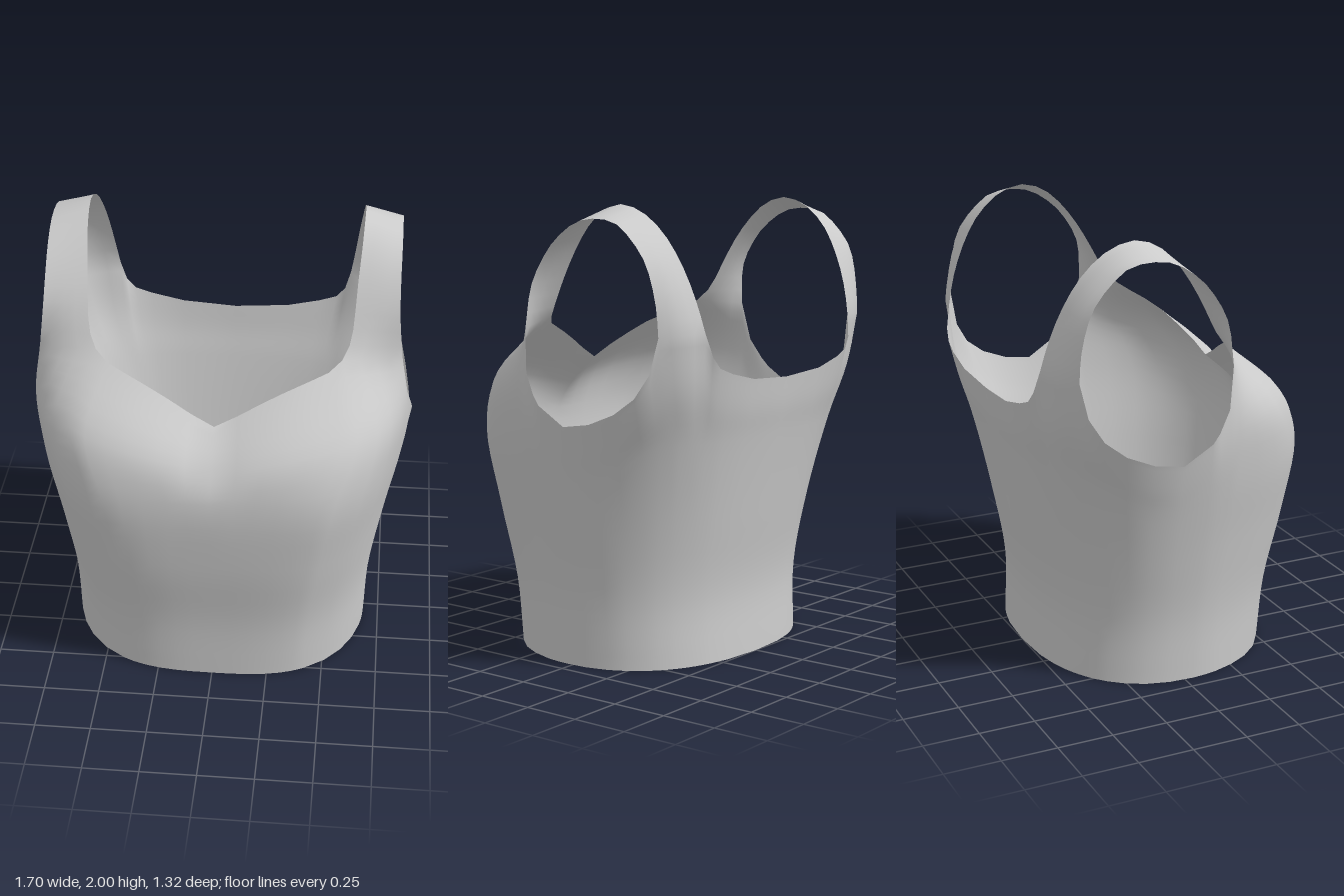
import * as THREE from 'three';
import { mergeGeometries, mergeVertices } from 'three/addons/utils/BufferGeometryUtils.js';

const V = (x, y, z) => new THREE.Vector3(x, y, z);
const spline = (pts) => new THREE.CatmullRomCurve3(pts);

// Torso levels: height, half width, front z, back z, front roundness in x and z, back roundness
const LEVELS = [
  [0, 0.68, 0.575, -0.5, 3.0, 1.9, 2.3],
  [0.3, 0.695, 0.59, -0.49, 3.5, 1.75, 2.3],
  [0.6, 0.745, 0.635, -0.535, 4.2, 1.55, 2.3],
  [0.8, 0.783, 0.66, -0.58, 4.8, 1.4, 2.4],
  [1.0, 0.83, 0.655, -0.61, 5.4, 1.27, 2.6],
];
const MID_Z = 0.03;

// Point on the torso at height y and angle (0 = front centre, 180 = back centre)
function torsoPoint(y, degrees) {
  let i = 0;
  while (i < LEVELS.length - 2 && y > LEVELS[i + 1][0]) i++;
  const k = (y - LEVELS[i][0]) / (LEVELS[i + 1][0] - LEVELS[i][0]);
  const [, w, front, back, nx, nz, nb] = LEVELS[i].map((v, j) => v + (LEVELS[i + 1][j] - v) * k);
  const a = THREE.MathUtils.degToRad(degrees);
  const s = degrees === 180 ? 0 : Math.sin(a);
  const c = Math.cos(a);
  const [px, pz] = c > 0 ? [nx, nz] : [nb, nb];
  // Find the radius where the ray meets the rounded outline
  let lo = 0, hi = 2;
  for (let n = 0; n < 40; n++) {
    const r = (lo + hi) / 2;
    if (Math.pow(r * s, px) + Math.pow(r * Math.abs(c), pz) < 1) lo = r;
    else hi = r;
  }
  return V(w * lo * s, y, MID_Z + ((c > 0 ? front : back) - MID_Z) * lo * Math.abs(c));
}

// Move a point outward from the body's axis
const pushOut = (p, amount) =>
  p.addScaledVector(V(p.x, 0, p.z - MID_Z).normalize(), amount);

// Top edge of one half, front to back: angle, x, y, z, outward fullness below it
const FRONT_NECK = [
  [0, 0, 1.26, 0.435, 0.03],
  [6.8, 0.1, 1.31, 0.42, 0.06],
  [13, 0.2, 1.36, 0.39, 0.085],
  [19.5, 0.3, 1.405, 0.36, 0.097],
  [25.5, 0.4, 1.44, 0.32, 0.1],
  [30.5, 0.48, 1.465, 0.28, 0.1],
];
const FRONT_STRAP = [[35, 0.535, 1.5, 0.23, 0.1], [76, 0.795, 1.47, 0.15, 0.025]];
const ARMHOLE = [
  [80, 0.825, 1.29, 0.12, 0.01],
  [84, 0.845, 1.2, 0.065, 0.005],
  [89, 0.852, 1.16, 0.03, 0],
  [101, 0.845, 1.08, -0.1, 0],
  [112, 0.837, 1.1, -0.23, 0],
  [121, 0.82, 1.15, -0.35, 0],
  [129, 0.797, 1.22, -0.44, 0],
  [134, 0.772, 1.32, -0.5, 0.01],
];
const BACK_STRAP = [[138, 0.75, 1.47, -0.53, 0.02], [147, 0.545, 1.48, -0.615, 0.02]];
const BACK_NECK = [
  [149, 0.52, 1.38, -0.637, 0.01],
  [151.5, 0.48, 1.33, -0.645, 0.005],
  [155, 0.4, 1.3, -0.652, 0.005],
  [164, 0.25, 1.265, -0.655, 0.005],
  [180, 0, 1.25, -0.65, 0.005],
];

const STRAP_COLUMNS = 4;
const STRAP_ROWS = 20;
const FRONT_BULGE = 0.015;
const BACK_BULGE = 0.025;

// Point across the strap, rounded between its two edges
const across = (a, b, j, bulge) => {
  const t = j / STRAP_COLUMNS;
  return pushOut(a.clone().lerp(b, t), 4 * t * (1 - t) * bulge);
};

// Top edge entries across the foot of a strap
const strapFoot = ([a, b], bulge) => Array.from({ length: STRAP_COLUMNS + 1 }, (_, j) => {
  const p = across(V(a[1], a[2], a[3]), V(b[1], b[2], b[3]), j, bulge);
  const mix = (n) => a[n] + ((b[n] - a[n]) * j) / STRAP_COLUMNS;
  return [mix(0), p.x, p.y, p.z, mix(4)];
});

// One vertical column of cloth from the hem to the top edge
function column([angle, x, y, z, fullness]) {
  const top = V(x, y, z);
  const yb = Math.min(1.0, y - 0.25);
  const chest = torsoPoint(yb, angle);
  const mid = pushOut(chest.clone().lerp(top, 0.5), fullness);
  const below = [0, 0.3, (0.3 + yb) / 2].map((h) => torsoPoint(h, angle));
  return spline([...below, chest, mid, top]).getPoints(25);
}

// Strap running over the shoulder between its neck edge and its armhole edge
function strapColumns() {
  const inner = spline([
    V(0.535, 1.5, 0.23), V(0.567, 1.56, 0.18), V(0.58, 1.67, 0.12), V(0.587, 1.79, 0.05),
    V(0.597, 1.9, -0.035), V(0.602, 1.97, -0.12), V(0.605, 2.0, -0.22), V(0.602, 1.965, -0.34),
    V(0.593, 1.87, -0.45), V(0.578, 1.74, -0.53), V(0.562, 1.6, -0.585), V(0.545, 1.48, -0.615),
  ]).getSpacedPoints(STRAP_ROWS);
  const outer = spline([
    V(0.795, 1.47, 0.15), V(0.775, 1.66, 0.13), V(0.77, 1.8, 0.05), V(0.77, 1.87, -0.02),
    V(0.77, 1.93, -0.12), V(0.77, 1.945, -0.22), V(0.77, 1.93, -0.32), V(0.77, 1.87, -0.4),
    V(0.77, 1.77, -0.48), V(0.76, 1.6, -0.525), V(0.75, 1.47, -0.53),
  ]).getSpacedPoints(STRAP_ROWS);
  // The rounding fades out towards the flat top of the shoulder
  const bulge = (i) => FRONT_BULGE * Math.max(0, 1 - i / 6)
    + BACK_BULGE * Math.max(0, 1 - (STRAP_ROWS - i) / 8);
  return Array.from({ length: STRAP_COLUMNS + 1 }, (_, j) =>
    inner.map((p, i) => across(p, outer[i], j, bulge(i))));
}

const mirror = (cols) => cols.map((col) => col.map((p) => V(-p.x, p.y, p.z))).reverse();

// Surface through neighbouring columns of points
function sheet(cols) {
  const rows = cols[0].length;
  const index = [];
  for (let j = 0; j < cols.length - 1; j++) {
    for (let i = 0; i < rows - 1; i++) {
      const a = j * rows + i, b = a + rows;
      index.push(a, b, b + 1, a, b + 1, a + 1);
    }
  }
  const g = new THREE.BufferGeometry().setFromPoints(cols.flat());
  g.setIndex(index);
  return g;
}

export function createModel() {
  const group = new THREE.Group();
  group.name = 'sleevelessTop';

  const half = [
    ...FRONT_NECK, ...strapFoot(FRONT_STRAP, FRONT_BULGE), ...ARMHOLE,
    ...strapFoot(BACK_STRAP, BACK_BULGE), ...BACK_NECK,
  ].map(column);
  const strap = strapColumns();

  // Body and straps are welded so the shading runs smoothly across the joins
  const geometry = mergeVertices(
    mergeGeometries([sheet(half), sheet(mirror(half)), sheet(strap), sheet(mirror(strap))]), 1e-4);
  geometry.computeVertexNormals();

  const cloth = new THREE.MeshStandardMaterial({ color: 0xcccccc, side: THREE.DoubleSide });
  const bodice = new THREE.Mesh(geometry, cloth);
  bodice.name = 'bodiceWithStraps';
  group.add(bodice);
  return group;
}
